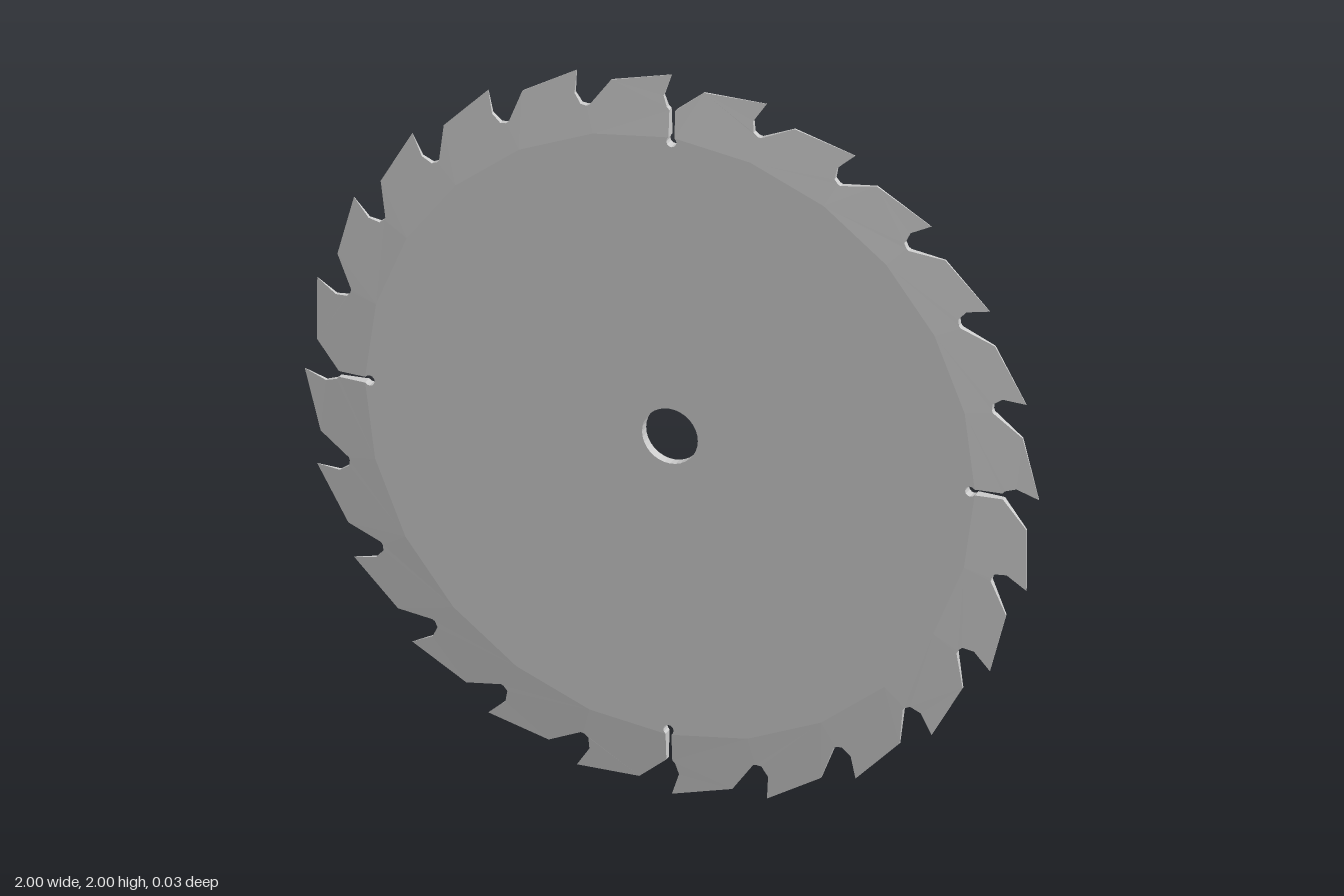
import * as THREE from 'three';

const TEETH = 24, HALF = 0.0135, PLATEAU = 0.83, BORE = 0.076;

// Point given in the frame of gullet k (x clockwise, y outward), turned into place
function at(k, x, y) {
  const a = (k / TEETH) * Math.PI * 2, c = Math.cos(a), s = Math.sin(a);
  return new THREE.Vector2(x * c + y * s, y * c - x * s);
}

// Half thickness: flat body, tapering to a thin edge at the tooth tips
const halfAt = (p) => Math.max(0.0006, HALF * Math.min(1, 1 - (p.length() - PLATEAU - 0.002) / 0.168));

const isSlot = (k) => k % (TEETH / 4) === 0;
const lipLeft = (k) => (isSlot(k) ? -0.004 : 0.004);
const lipRight = (k) => (isSlot(k) ? 0.012 : 0.004);

// Tooth outline from gullet k clockwise to gullet k + 1
function toothProfile(k) {
  const pts = [at(k, lipRight(k), 0.904)];
  if (!isSlot(k)) pts.push(at(k, 0.012, 0.905));
  pts.push(
    at(k, 0.088, 0.966),
    at(k + 1, 0, 1),
    at(k + 1, -0.021, 0.94),
    at(k + 1, -0.011, 0.91),
    at(k + 1, lipLeft(k + 1), 0.904)
  );
  return pts;
}

// Round end of an expansion slot, from its left wall to its right wall
function slotEye(k) {
  const pts = [], n = 10, start = 2.18, sweep = Math.PI * 2 - 2 * (start - Math.PI / 2);
  for (let i = 1; i < n; i++) {
    const t = start + (sweep * i) / n;
    pts.push(at(k, 0.004 + 0.014 * Math.cos(t), 0.818 + 0.014 * Math.sin(t)));
  }
  return pts;
}

// Front and back faces of a flat region
function addFaces(out, contour, holes = []) {
  const all = [contour, ...holes].flat();
  for (const f of THREE.ShapeUtils.triangulateShape(contour, holes)) {
    let [a, b, c] = f.map((i) => all[i]);
    if ((b.x - a.x) * (c.y - a.y) - (b.y - a.y) * (c.x - a.x) < 0) [b, c] = [c, b];
    for (const p of [a, b, c]) out.push(p.x, p.y, halfAt(p));
    for (const p of [a, c, b]) out.push(p.x, p.y, -halfAt(p));
  }
}

// Edge wall along a closed loop, facing left of the direction of travel
function addWall(out, loop) {
  loop.forEach((a, i) => {
    const b = loop[(i + 1) % loop.length], za = halfAt(a), zb = halfAt(b);
    out.push(a.x, a.y, za, b.x, b.y, zb, b.x, b.y, -zb);
    out.push(a.x, a.y, za, b.x, b.y, -zb, a.x, a.y, -za);
  });
}

function makeMesh(name, positions, material) {
  const g = new THREE.BufferGeometry();
  g.setAttribute('position', new THREE.Float32BufferAttribute(positions, 3));
  g.computeVertexNormals();
  const mesh = new THREE.Mesh(g, material);
  mesh.name = name;
  return mesh;
}

export function createModel() {
  const group = new THREE.Group();
  group.name = 'circularSawBlade';
  const material = new THREE.MeshStandardMaterial({ color: 0xcccccc, flatShading: true });

  const teeth = [], body = [], edge = [], boreWall = [];
  const core = [], outline = [];

  for (let k = 0; k < TEETH; k++) {
    const innerLeft = at(k, lipLeft(k), PLATEAU);
    const innerRight = at(k, lipRight(k), PLATEAU);
    const profile = toothProfile(k);

    // Bevelled tooth sector
    addFaces(teeth, [...profile, at(k + 1, lipLeft(k + 1), PLATEAU), innerRight]);

    // Border of the flat body and the complete cut edge
    if (isSlot(k)) {
      const slot = [innerLeft, ...slotEye(k), innerRight];
      core.push(...slot);
      outline.push(at(k, lipLeft(k), 0.904), ...slot);
    } else {
      core.push(innerRight);
    }
    // The last point is shared with the next gullet
    outline.push(...profile.slice(0, -1));
  }

  // Central arbor hole
  const bore = [];
  for (let i = 0; i < 32; i++) {
    const t = (i / 32) * Math.PI * 2;
    bore.push(new THREE.Vector2(BORE * Math.cos(t), BORE * Math.sin(t)));
  }

  addWall(edge, outline);
  addWall(boreWall, bore);
  addFaces(body, core.slice().reverse(), [bore.slice().reverse()]);

  group.add(
    makeMesh('bladeBody', body, material),
    makeMesh('bevelledTeeth', teeth, material),
    makeMesh('toothAndSlotEdges', edge, material),
    makeMesh('arborHoleWall', boreWall, material)
  );
  group.children.forEach((m) => (m.position.y = 1));
  return group;
}
